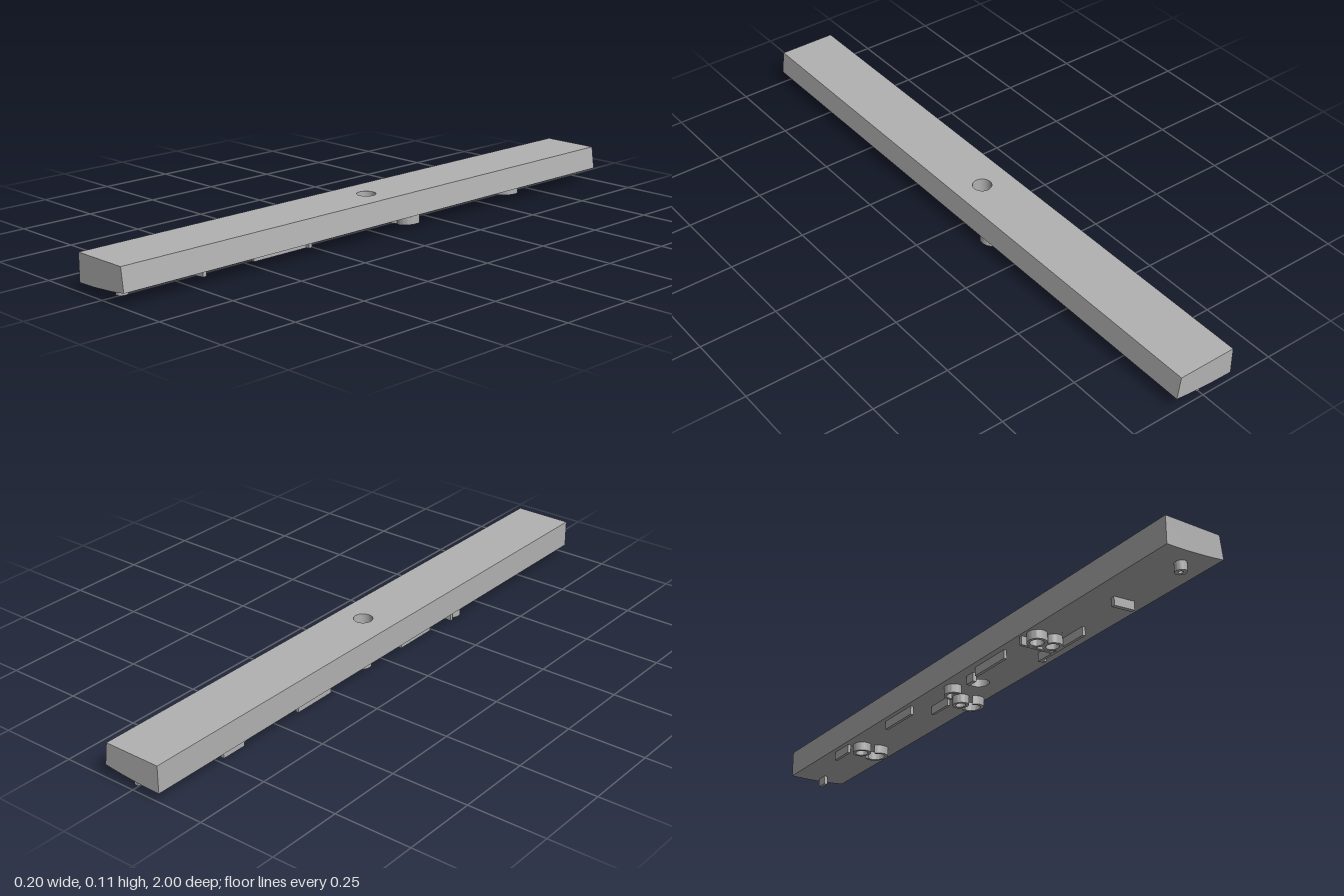
import * as THREE from 'three';
import { mergeGeometries, toCreasedNormals } from 'three/addons/utils/BufferGeometryUtils.js';

const TOP = 0.115, HOLE = 0.03, RIB = 0.03;

// Height of the gently curved underside at x
const under = (x) => 0.028 + 0.014 * ((x + 0.1) / 0.2) ** 2;

function rect(x0, x1, z0, z1) {
  const s = new THREE.Shape();
  s.moveTo(x0, z0).lineTo(x1, z0).lineTo(x1, z1).lineTo(x0, z1).closePath();
  return s;
}

function withHole(shape, x, z, r) {
  shape.holes.push(new THREE.Path().absarc(x, z, r, 0, Math.PI * 2, true));
  return shape;
}

function ring(x, z, r, w = 0.01) {
  return withHole(new THREE.Shape().absarc(x, z, r, 0, Math.PI * 2, false), x, z, r - w);
}

function arc(x, z, r, a0, a1, w = 0.01) {
  const s = new THREE.Shape();
  s.absarc(x, z, r, a0, a1, false);
  s.absarc(x, z, r - w, a1, a0, true);
  s.closePath();
  return s;
}

// Lift a geometry so that y = 0 follows the underside
function follow(geo, offset = 0, test = () => true) {
  const p = geo.attributes.position;
  for (let i = 0; i < p.count; i++) {
    if (test(p.getY(i))) p.setY(i, p.getY(i) + under(p.getX(i)) + offset);
  }
  return geo;
}

function createBody(material) {
  const parts = [];
  const plan = (shape) => new THREE.ShapeGeometry(shape, 24);

  // Top face
  parts.push(plan(withHole(rect(-0.1, 0.09, -1, 1), 0, 0, HOLE)).rotateX(-Math.PI / 2).translate(0, TOP, 0));

  // Curved underside in strips, the middle one pierced
  const xs = [-0.1, -0.035, 0.035, 0.07, 0.1];
  for (let i = 0; i < xs.length - 1; i++) {
    const strip = rect(xs[i], xs[i + 1], -1, 1);
    if (i === 1) withHole(strip, 0, 0, HOLE);
    parts.push(follow(plan(strip).rotateX(Math.PI / 2)));
  }

  // End faces
  const profile = new THREE.Shape();
  profile.moveTo(0.09, TOP).lineTo(-0.1, TOP);
  xs.forEach((x) => profile.lineTo(x, under(x)));
  profile.closePath();
  parts.push(plan(profile).translate(0, 0, 1));
  const back = new THREE.Shape(profile.getPoints().map((p) => new THREE.Vector2(-p.x, p.y)));
  parts.push(plan(back).rotateY(Math.PI).translate(0, 0, -1));

  // Long sides, the +x one sloping outwards to the bottom
  for (const s of [-1, 1]) {
    const side = new THREE.PlaneGeometry(2, 1).rotateY(s * Math.PI / 2);
    const p = side.attributes.position;
    for (let i = 0; i < p.count; i++) {
      const high = p.getY(i) > 0;
      const x = s < 0 ? -0.1 : high ? 0.09 : 0.1;
      p.setXYZ(i, x, high ? TOP : under(x), p.getZ(i));
    }
    parts.push(side);
  }

  const body = toCreasedNormals(mergeGeometries(parts.map((g) => g.toNonIndexed())), 0.4);
  const mesh = new THREE.Mesh(body, material);
  mesh.name = 'barBody';
  return mesh;
}

// Inward-facing wall of the through hole
function createBore(material) {
  const bore = new THREE.CylinderGeometry(HOLE, HOLE, 1, 48, 1, true).translate(0, 0.5, 0);
  const p = bore.attributes.position;
  for (let i = 0; i < p.count; i++) p.setY(i, p.getY(i) > 0.5 ? TOP : under(p.getX(i)));
  bore.index.array.reverse();
  bore.computeVertexNormals();
  const mesh = new THREE.Mesh(bore, material);
  mesh.name = 'throughHole';
  return mesh;
}

export function createModel() {
  const grey = new THREE.MeshStandardMaterial({ color: 0xb2b2b2 });
  grey.name = 'grey';
  const model = new THREE.Group();
  model.name = 'bar';
  model.add(createBody(grey), createBore(grey));

  // Raised ribs, rings and pins on the underside, as outlines in x and z
  const raised = {
    frontPin: [ring(0.003, 0.935, 0.018, 0.011)],
    crossRib: [rect(-0.025, 0.048, 0.675, 0.688)],
    frontLongRib: [rect(0.022, 0.032, 0.27, 0.485), rect(0.022, 0.045, 0.27, 0.282)],
    doubleRing: [rect(-0.092, 0.028, 0.335, 0.345), ring(-0.061, 0.378, 0.031), ring(-0.005, 0.378, 0.03)],
    frontSideRib: [rect(-0.08, -0.07, 0.09, 0.24)],
    middlePin: [rect(-0.065, -0.053, 0.022, 0.058)],
    middleCurls: [
      arc(0.06, -0.125, 0.035, -2.2, 2.2),
      ring(0.012, -0.122, 0.026),
      arc(-0.05, -0.07, 0.03, 1.2, 5.1),
    ],
    middleRib: [rect(-0.026, -0.016, -0.23, -0.14)],
    backSideRib: [rect(-0.085, -0.075, -0.41, -0.26)],
    backCurls: [arc(0.02, -0.635, 0.038, -2.3, 2.3), ring(-0.042, -0.627, 0.03)],
    backEndRib: [rect(-0.085, -0.075, -0.73, -0.645)],
    backPin: [rect(-0.002, 0.01, -0.982, -0.945)],
  };
  for (const [name, shapes] of Object.entries(raised)) {
    const geo = new THREE.ExtrudeGeometry(shapes, { depth: RIB, bevelEnabled: false, curveSegments: 20 });
    follow(geo.rotateX(Math.PI / 2), 0.002);
    const mesh = new THREE.Mesh(toCreasedNormals(geo, 0.5), grey);
    mesh.name = name;
    model.add(mesh);
  }
  return model;
}
